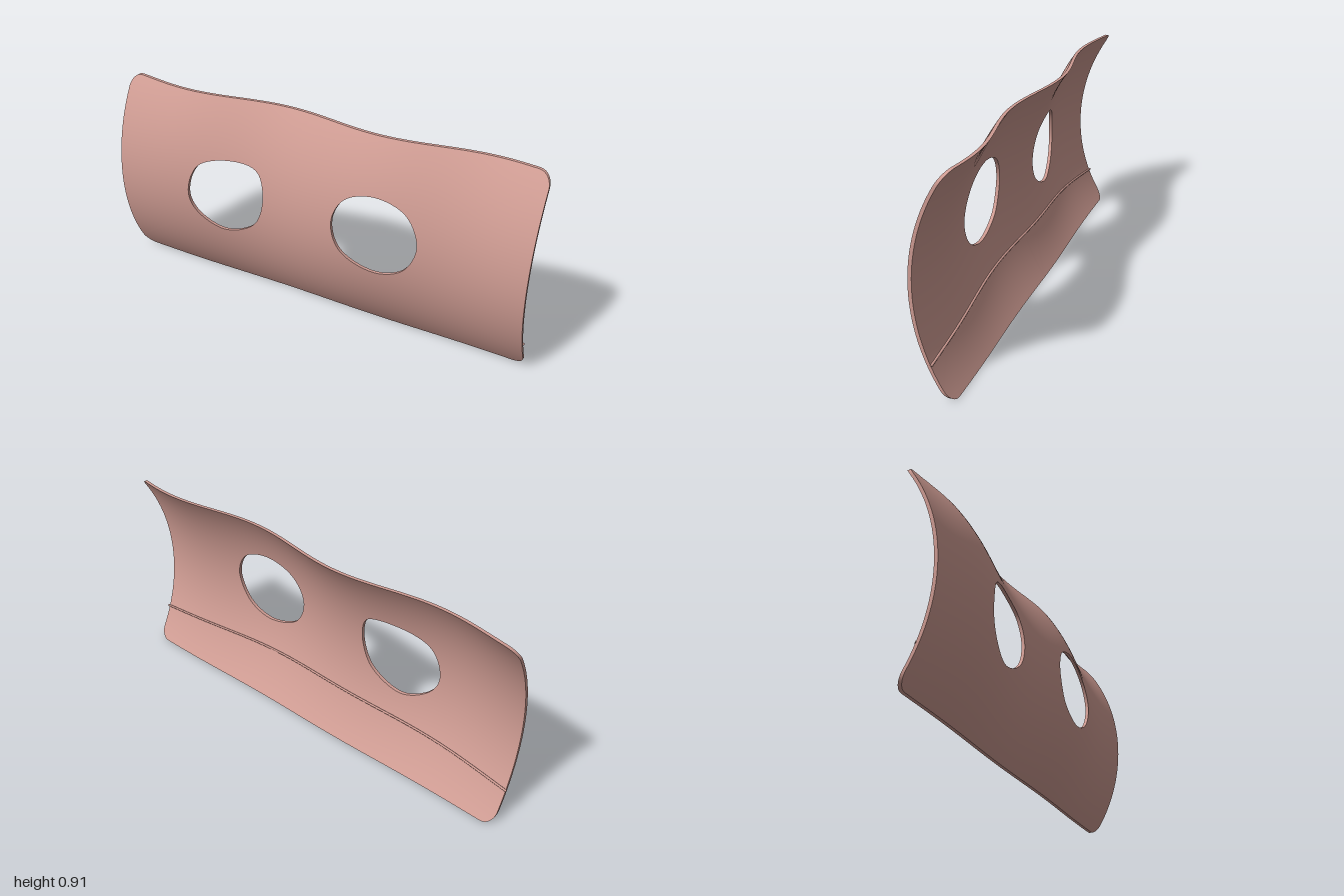
import * as THREE from 'three';
import { mergeVertices } from 'three/addons/utils/BufferGeometryUtils.js';

const HALF = 0.0075, SEAM = -0.03, Y0 = 0.004, Y1 = 0.915, MID = 0.457, R = 0.79;

// Middle surface: an arc bowed forward, with a ripple that grows towards the top
function surfaceZ(x, y) {
  const bow = 0.078 - (R - Math.sqrt(R * R - (y - MID) ** 2));
  const ripple = 0.003 + 0.026 * (y / Y1);
  return bow + ripple * Math.cos((2 * Math.PI * (x - 0.3)) / 0.945);
}

// Hole outline from a few points
function holeLoop(pts) {
  const curve = new THREE.CatmullRomCurve3(pts.map(([x, y]) => new THREE.Vector3(x, y, 0)), true);
  return curve.getPoints(720);
}

// Counter-clockwise outline of one half, rounded at its outer corners
function halfOutline(side) {
  const r = 0.055, xe = 0.995, pts = [];
  const line = (ax, ay, bx, by, n) => {
    for (let i = 0; i < n; i++) pts.push([ax + ((bx - ax) * i) / n, ay + ((by - ay) * i) / n]);
  };
  const arc = (cx, cy, a) => {
    for (let i = 0; i < 8; i++) {
      const t = a + (i / 8) * Math.PI / 2;
      pts.push([cx + r * Math.cos(t), cy + r * Math.sin(t)]);
    }
  };
  if (side > 0) {
    line(SEAM, Y0, xe - r, Y0, 44);
    arc(xe - r, Y0 + r, -Math.PI / 2);
    line(xe, Y0 + r, xe, Y1 - r, 40);
    arc(xe - r, Y1 - r, 0);
    line(xe - r, Y1, SEAM, Y1, 44);
    line(SEAM, Y1, SEAM, Y0, 44);
  } else {
    line(SEAM, Y0, SEAM, Y1, 44);
    line(SEAM, Y1, -xe + r, Y1, 44);
    arc(-xe + r, Y1 - r, Math.PI / 2);
    line(-xe, Y1 - r, -xe, Y0 + r, 40);
    arc(-xe + r, Y0 + r, Math.PI);
    line(-xe + r, Y0, SEAM, Y0, 44);
  }
  return pts;
}

// Rings running from the hole edge to the outline
function makeRings(side, hole, centre, count) {
  const outer = halfOutline(side);
  const angle = (x, y) => Math.atan2(y - centre[1], x - centre[0]);
  const inner = outer.map(([x, y]) => {
    const a = angle(x, y);
    let best = hole[0], gap = 9;
    for (const p of hole) {
      const d = 1 - Math.cos(angle(p.x, p.y) - a);
      if (d < gap) { gap = d; best = p; }
    }
    return [best.x, best.y];
  });
  return Array.from({ length: count + 1 }, (_, j) => outer.map(([x, y], i) => {
    const t = j / count;
    return [inner[i][0] + (x - inner[i][0]) * t, inner[i][1] + (y - inner[i][1]) * t];
  }));
}

function toGeometry(positions) {
  let geo = new THREE.BufferGeometry();
  geo.setAttribute('position', new THREE.Float32BufferAttribute(positions, 3));
  geo = mergeVertices(geo, 1e-5);
  geo.computeVertexNormals();
  return geo;
}

export function createModel() {
  const group = new THREE.Group();
  group.name = 'curvedPanel';
  const clay = new THREE.MeshStandardMaterial({ color: 0xcf9c93 });
  clay.name = 'dusty pink';

  const front = [], back = [], outerRim = [], holeRim = [];
  const at = ([x, y], s) => [x, y, surfaceZ(x, y) + s * HALF];
  const quad = (list, a, b, c, d) => list.push(...a, ...b, ...c, ...a, ...c, ...d);

  const halves = [
    { side: -1, centre: [-0.4, 0.49], pts: [[-0.59, 0.47], [-0.55, 0.38], [-0.42, 0.315], [-0.26, 0.385],
      [-0.213, 0.52], [-0.25, 0.64], [-0.39, 0.665], [-0.54, 0.615]] },
    { side: 1, centre: [0.335, 0.515], pts: [[0.14, 0.53], [0.185, 0.4], [0.345, 0.34], [0.475, 0.39],
      [0.53, 0.52], [0.47, 0.645], [0.33, 0.69], [0.195, 0.645]] },
  ];
  for (const { side, centre, pts } of halves) {
    const rings = makeRings(side, holeLoop(pts), centre, 24);
    const n = rings[0].length, last = rings.length - 1;
    for (let i = 0; i < n; i++) {
      const k = (i + 1) % n;
      for (let j = 0; j < last; j++) {
        const a = rings[j][i], b = rings[j + 1][i], c = rings[j + 1][k], d = rings[j][k];
        quad(front, at(a, 1), at(b, 1), at(c, 1), at(d, 1));
        quad(back, at(a, -1), at(d, -1), at(c, -1), at(b, -1));
      }
      const h = rings[0][i], g = rings[0][k], p = rings[last][i], q = rings[last][k];
      quad(holeRim, at(h, -1), at(h, 1), at(g, 1), at(g, -1));
      // No wall where the halves join
      if (p[0] !== SEAM || q[0] !== SEAM) quad(outerRim, at(p, -1), at(q, -1), at(q, 1), at(p, 1));
    }
  }

  const add = (geo, name) => {
    const mesh = new THREE.Mesh(geo, clay);
    mesh.name = name;
    group.add(mesh);
  };
  add(toGeometry(front), 'frontSurface');
  add(toGeometry(back), 'backSurface');
  add(toGeometry(outerRim), 'outerRim');
  add(toGeometry(holeRim), 'holeRims');

  // Thin cord lying across the lower back
  const path = Array.from({ length: 33 }, (_, i) => {
    const x = -1 + i / 16, y = 0.155 + 0.055 * (1 - x * x);
    return new THREE.Vector3(x, y, surfaceZ(x, y) - HALF - 0.003);
  });
  add(new THREE.TubeGeometry(new THREE.CatmullRomCurve3(path), 96, 0.005, 8), 'backCord');
  return group;
}
